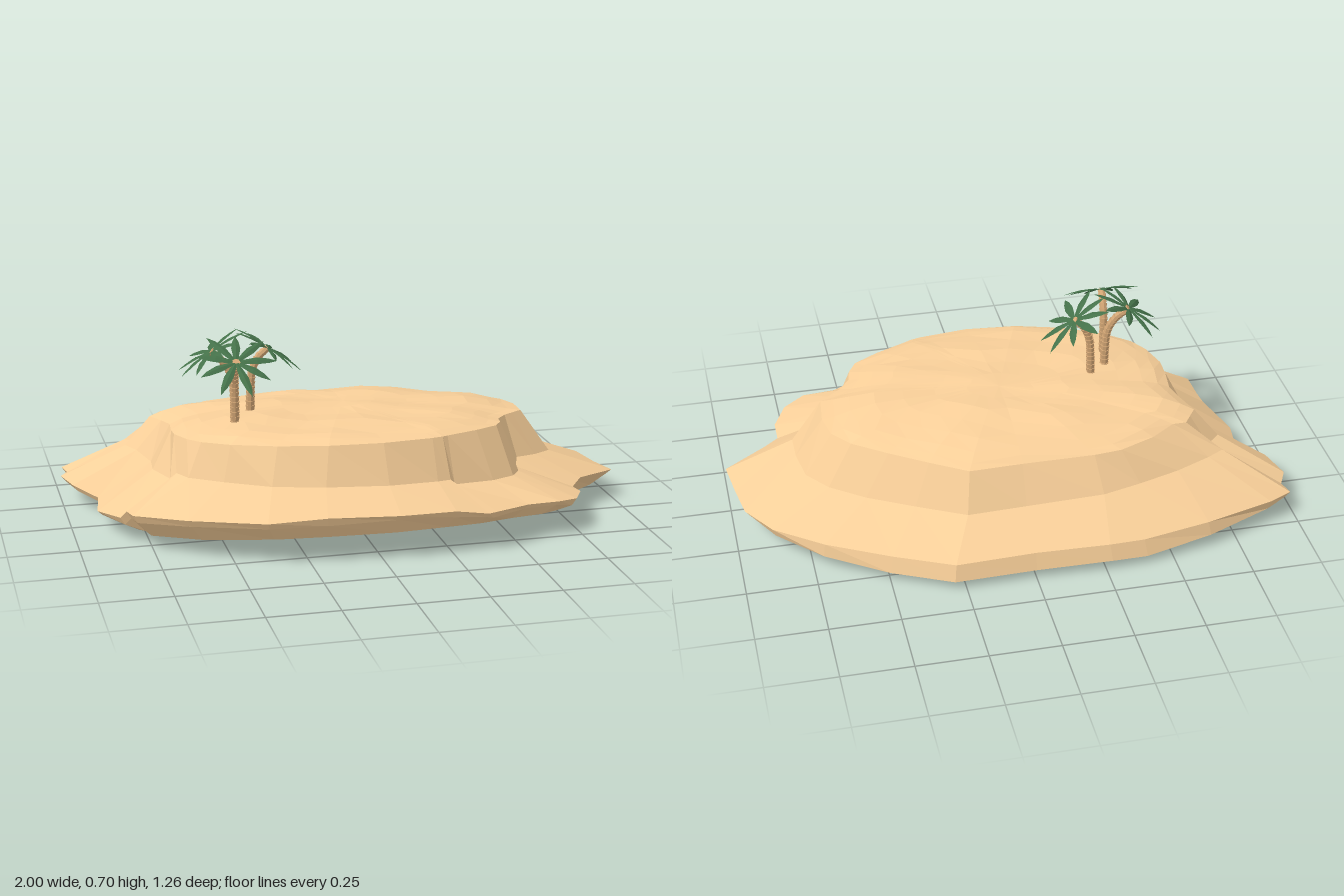
import * as THREE from 'three';

const sand = new THREE.MeshStandardMaterial({ color: 0xf8cf99, flatShading: true });
const bark = new THREE.MeshStandardMaterial({ color: 0xd9ab78, flatShading: true });
const leaf = new THREE.MeshStandardMaterial({ color: 0x45724a, flatShading: true, side: THREE.DoubleSide });

// Plan outlines as x, z pairs, counter-clockwise seen from above
const SHORE = [1, .12, .98, -.02, .96, -.15, .88, -.28, .72, -.41, .5, -.53, .29, -.63, 0, -.625, -.27, -.635,
  -.4, -.625, -.65, -.575, -.9, -.49, -.985, -.44, -.972, -.38, -1, -.32, -.97, -.2, -.89, -.1, -.91, .04,
  -.85, .2, -.83, .22, -.82, .31, -.65, .44, -.4, .57, -.2, .6, .05, .625, .25, .61, .37, .6,
  .4, .59, .54, .52, .66, .51, .74, .46, .79, .36, .79, .28, .84, .22];
const FOOT = [.75, .12, .75, .02, .73, -.1, .66, -.19, .54, -.28, .38, -.37, .21, -.46, 0, -.46, -.28, -.46,
  -.42, -.43, -.57, -.39, -.7, -.34, -.76, -.31, -.72, -.265, -.77, -.22, -.74, -.14, -.7, -.06, -.71, .05,
  -.67, .19, -.65, .21, -.62, .28, -.51, .36, -.36, .45, -.18, .49, .04, .505, .22, .48, .27, .465,
  .29, .45, .44, .42, .53, .37, .57, .31, .58, .25, .6, .2, .68, .17];
const RIM = [.64, .11, .65, 0, .63, -.09, .57, -.16, .45, -.24, .32, -.32, .19, -.395, 0, -.39, -.26, -.39,
  -.36, -.38, -.49, -.33, -.58, -.27, -.63, -.27, -.655, -.235, -.68, -.2, -.65, -.12, -.63, -.05, -.64, .04,
  -.64, .11, -.61, .2, -.57, .26, -.48, .33, -.33, .4, -.16, .445, .03, .46, .21, .44, .25, .43,
  .27, .42, .39, .37, .48, .32, .51, .27, .52, .22, .56, .17, .6, .14];

// Surface through rows of points; closed rows wrap around
function loft(rows, closed) {
  const n = rows[0].length, pos = rows.flat(2), index = [];
  for (let r = 0; r < rows.length - 1; r++) {
    for (let i = 0; i < (closed ? n : n - 1); i++) {
      const j = (i + 1) % n, a = r * n + i, b = r * n + j, c = a + n, d = b + n;
      index.push(a, b, c, b, d, c);
    }
  }
  const g = new THREE.BufferGeometry();
  g.setAttribute('position', new THREE.Float32BufferAttribute(pos, 3));
  g.setIndex(index);
  g.computeVertexNormals();
  return g;
}

// Ring from an outline, with rules for its scale toward the middle and its height
function ring(outline, scale, height) {
  const pts = [];
  for (let i = 0; i < outline.length; i += 2) {
    const ox = outline[i], oz = outline[i + 1], s = scale(ox, oz);
    pts.push([ox * s, height(ox * s, oz * s, ox, oz), oz * s]);
  }
  return pts;
}

function island() {
  const { clamp } = THREE.MathUtils;
  // Lower shelf right of the front crack and along the left side
  const step = (x, z) => (x > .28 && x < .85 && z > .24 ? .022 : 0) + (x < -.6 && z > -.12 && z < .205 ? .025 : 0);
  const ripple = (x, z) => .004 * Math.sin(x * 17 + z * 9) + .003 * Math.sin(z * 31 - x * 11);
  const back = (x, z) => clamp((-z - .1) / .3, 0, 1) * clamp(1.3 - 1.3 * x * x, 0, 1);
  const shoreY = (x, z) => .1 + .07 * Math.max(0, z / .6) - step(x, z) + ripple(x, z);
  const footY = (x, z) => .22 + .05 * z - .03 * x - step(x, z);
  const rimY = (x, z) => .355 + .065 * z;
  const baseY = (x, z) => .005 + .02 * Math.abs(x) + .035 * x ** 4 + .1 * Math.max(0, z / .6) ** 2;
  const lowLip = (x, z) => shoreY(x, z) - .022 - .04 * back(x, z) + (z > 0 ? .008 * Math.sin(x * 40) : 0);
  const rows = [];
  // Underside, from the middle outward
  for (const s of [0, .3, .6, .82, .92]) rows.push(ring(SHORE, () => s, baseY));
  // Shore lip, undercut at the front and bulging at the back
  rows.push(ring(SHORE, (x, z) => .98 + .02 * back(x, z), lowLip));
  rows.push(ring(SHORE, (x, z) => 1 - .025 * back(x, z), shoreY));
  // Sloping shelf and cliff
  rows.push(ring(FOOT, () => 1, footY));
  rows.push(ring(RIM, () => 1, rimY));
  // Rippled plateau, rounding off quickly at the front and left, slowly at the back and right
  for (const s of [.93, .84, .7, .54, .36, .18, 0]) {
    rows.push(ring(RIM, () => s, (x, z, rx, rz) => {
      const edge = rimY(rx, rz);
      const power = 3 + 6 * clamp(rz * 1.5 - rx * .8, 0, 1);
      return edge + (.41 - edge) * (1 - s ** power) + (s ? ripple(x, z) : 0);
    }));
  }
  const mesh = new THREE.Mesh(loft(rows, true), sand);
  mesh.name = 'island';
  return mesh;
}

// Pointed leaf, slightly folded along its spine
function frondGeometry(length) {
  const rows = [[0, .004], [.2, .01], [.5, .016], [.78, .011], [1, 0]].map(([t, w]) => {
    const y = .008 * Math.sin(t * Math.PI) - .008 * t * t;
    return [[-w, y - w * .3, t * length], [0, y, t * length], [w, y - w * .3, t * length]];
  });
  return loft(rows, false);
}

function palm(base, top, lean, turn) {
  const g = new THREE.Group();
  g.name = 'palmTree';
  const up = new THREE.Vector3(0, 1, 0);
  const [bx, bz] = base, [tx, ty, tz] = top;
  const mix = (k, y) => new THREE.Vector3(bx + (tx - bx) * k, y, bz + (tz - bz) * k);
  const curve = new THREE.CatmullRomCurve3([mix(0, .39), mix(.02, .47), mix(.12, .55), mix(.45, .6), mix(1, ty)]);

  // Trunk of stacked, upward flaring collars
  const trunk = new THREE.Group();
  trunk.name = 'trunk';
  const count = 15, h = curve.getLength() / count;
  for (let i = 0; i < count; i++) {
    const t = (i + .5) / count, r = .018 - .003 * t;
    const collar = new THREE.Mesh(new THREE.CylinderGeometry(r, r * .78, h * 1.15, 8), bark);
    collar.name = 'trunkCollar';
    collar.position.copy(curve.getPointAt(t));
    collar.quaternion.setFromUnitVectors(up, curve.getTangentAt(t));
    trunk.add(collar);
  }

  // Crown tilted the way the trunk leans
  const crown = new THREE.Group();
  crown.name = 'crown';
  crown.position.set(tx, ty, tz);
  crown.quaternion.setFromUnitVectors(up, new THREE.Vector3(lean[0], 1, lean[1]).normalize());
  const geo = frondGeometry(.16);
  for (let i = 0; i < 9; i++) {
    const frond = new THREE.Mesh(geo, leaf);
    frond.name = 'frond';
    frond.rotation.y = turn + (i * Math.PI * 2) / 9;
    frond.scale.z = .92 + .08 * Math.cos(i * 2.4);
    crown.add(frond);
  }
  g.add(trunk, crown);
  return g;
}

export function createModel() {
  const model = new THREE.Group();
  model.name = 'desertIsland';
  model.add(
    island(),
    palm([-.35, .03], [-.285, .633, .03], [.65, 0], 0),
    palm([-.43, .155], [-.435, .637, .22], [0, .62], .2),
    palm([-.415, .08], [-.495, .64, .06], [-.6, -.05], .1),
  );
  return model;
}
